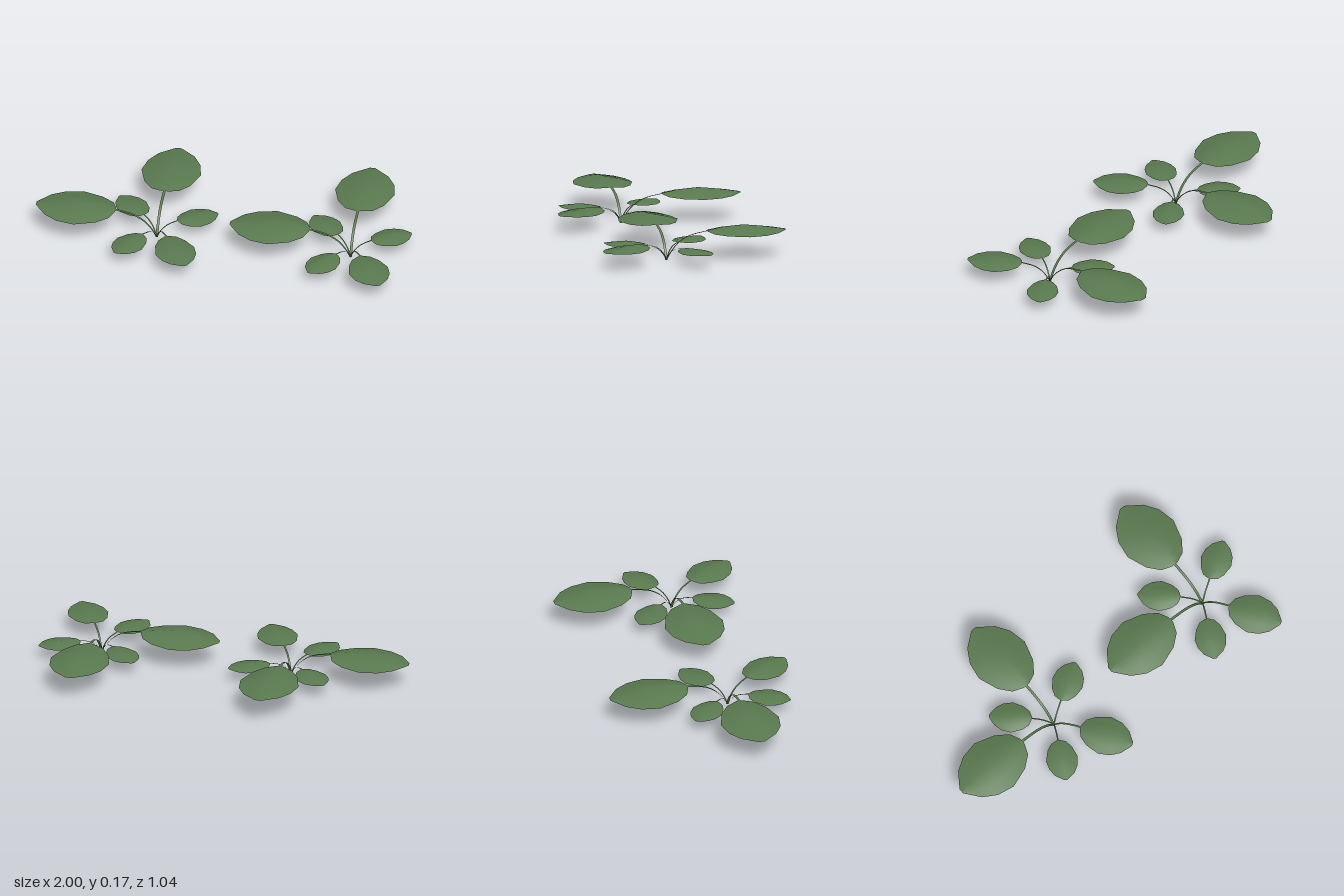
import * as THREE from 'three';

const green = new THREE.MeshStandardMaterial({ color: 0x5a7a50, side: THREE.DoubleSide });

// Surface through cross-sections that all have the same number of points
function loft(sections) {
  const n = sections[0].length, index = [];
  for (let i = 0; i < sections.length - 1; i++) {
    for (let j = 0; j < n - 1; j++) {
      const a = i * n + j, b = a + n;
      index.push(a, a + 1, b, b, a + 1, b + 1);
    }
  }
  const g = new THREE.BufferGeometry();
  g.setAttribute('position', new THREE.Float32BufferAttribute(sections.flat(2), 3));
  g.setIndex(index);
  g.computeVertexNormals();
  return g;
}

// Leaf blade: [distance from root, half width, ridge height, edge height]
const bladeRows = [
  [0.222, 0.018, 0.150, 0.147],
  [0.246, 0.075, 0.155, 0.141],
  [0.31, 0.124, 0.167, 0.137],
  [0.42, 0.16, 0.174, 0.135],
  [0.515, 0.142, 0.163, 0.135],
  [0.588, 0.097, 0.151, 0.137],
  [0.65, 0.015, 0.140, 0.139],
];
const bladeGeometry = loft(bladeRows.map(([r, w, ridge, edge]) =>
  [1, 0.55, 0, -0.55, -1].map((t) => [
    r, edge + (ridge - edge) * (1 - Math.pow(Math.abs(t), 1.2)), -w * t,
  ])));

// Stem: a thin flat ribbon arching from the root to the blade
const stemCurve = new THREE.CatmullRomCurve3([
  [0, 0], [0.03, 0.052], [0.066, 0.092], [0.115, 0.123], [0.165, 0.138], [0.235, 0.150],
].map(([x, y]) => new THREE.Vector3(x, y, 0)));
const stemGeometry = loft(stemCurve.getPoints(10).map((p) =>
  [0.007, -0.007].map((z) => [p.x, p.y, -z])));

// Leaves around the root: [angle in degrees, scale]
const leaves = [[180, 1], [90, 1], [300, 0.68], [30, 0.53], [135, 0.53], [240, 0.53]];

function createPlant() {
  const plant = new THREE.Group();
  plant.name = 'plant';
  for (const [angle, scale] of leaves) {
    const leaf = new THREE.Group();
    leaf.name = 'leaf';
    const blade = new THREE.Mesh(bladeGeometry, green);
    blade.name = 'leafBlade';
    const stem = new THREE.Mesh(stemGeometry, green);
    stem.name = 'leafStem';
    leaf.add(blade, stem);
    leaf.rotation.y = THREE.MathUtils.degToRad(angle);
    leaf.scale.setScalar(scale);
    plant.add(leaf);
  }
  return plant;
}

export function createModel() {
  const model = new THREE.Group();
  model.name = 'leafyPlants';
  for (const x of [-0.35, 0.695]) {
    const plant = createPlant();
    plant.position.set(x, 0, 0.13);
    model.add(plant);
  }
  return model;
}
